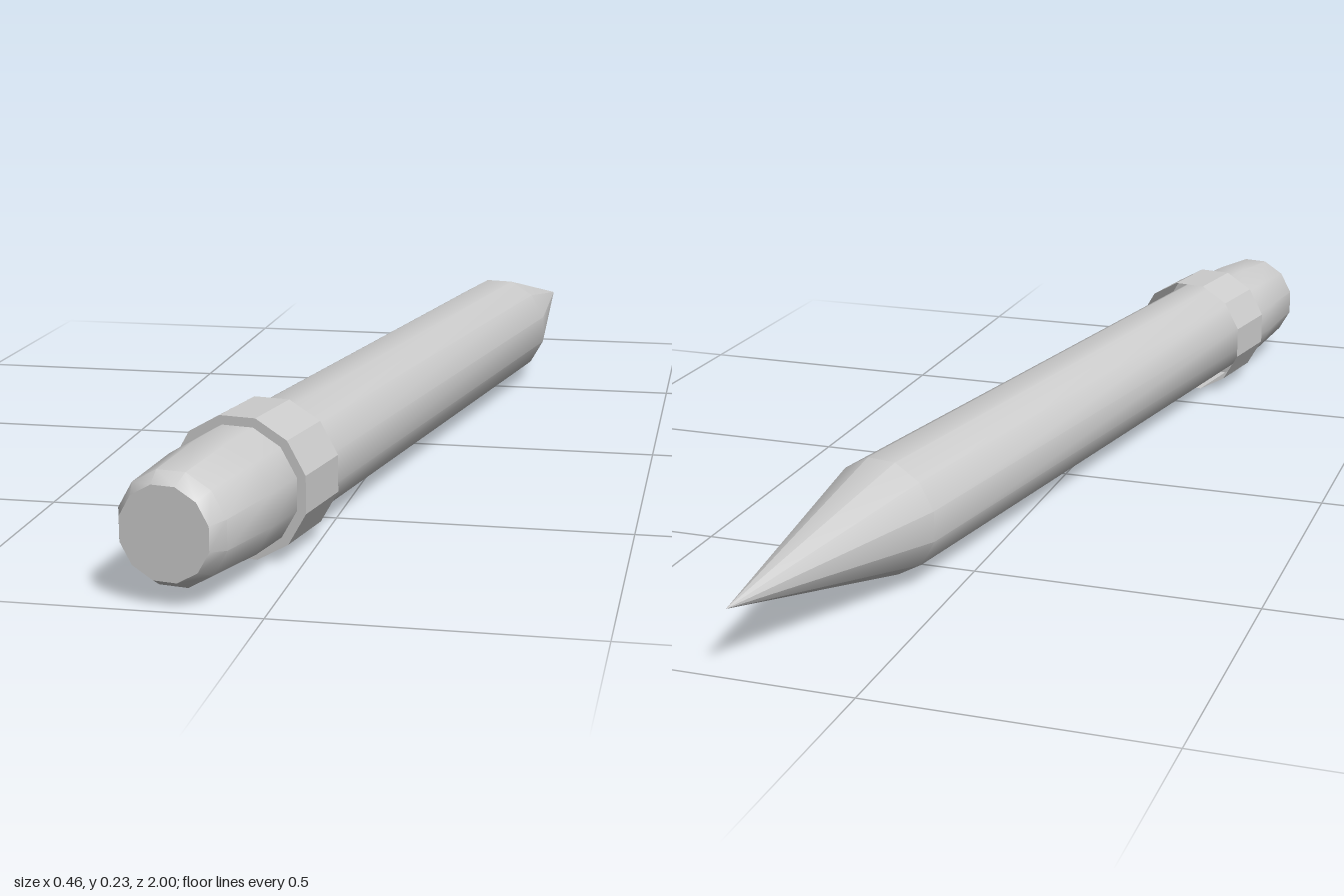
import * as THREE from 'three';
import { toCreasedNormals } from 'three/addons/utils/BufferGeometryUtils.js';

const SIDES = 12;
const CORNER = 1 / Math.cos(Math.PI / SIDES); // flat-to-corner radius ratio

// Twelve-sided turned part along z; profile is [flat radius, z] from back to front
function turned(name, profile, flatShading = false) {
  const points = profile.map(([r, z]) => new THREE.Vector2(r * CORNER, z));
  let geometry = new THREE.LatheGeometry(points, SIDES, Math.PI / SIDES);
  geometry.rotateX(Math.PI / 2);
  geometry = toCreasedNormals(geometry, 0.53);
  const material = new THREE.MeshStandardMaterial({
    color: 0xcccccc, flatShading, side: THREE.DoubleSide,
  });
  const mesh = new THREE.Mesh(geometry, material);
  mesh.name = name;
  return mesh;
}

export function createModel() {
  const pencil = new THREE.Group();
  pencil.name = 'pencil';

  // Sharpened point and shaft in one piece
  pencil.add(turned('shaft', [[0, -1.016], [0.1, -0.59], [0.1, 0.74]]));

  // Metal collar with a closed front lip, open at the back
  pencil.add(turned('ferrule', [[0.115, 0.615], [0.115, 0.747], [0.098, 0.747]], true));

  // Tapered eraser with a bevelled end
  pencil.add(turned('eraser', [
    [0.1, 0.74], [0.099, 0.84], [0.0885, 0.975], [0.073, 1.003], [0, 1.003],
  ]));

  // Lying down, turned slightly about the vertical
  pencil.rotation.y = -0.178;
  pencil.position.set(0.026, 0.1165, 0);

  const model = new THREE.Group();
  model.add(pencil);
  return model;
}
